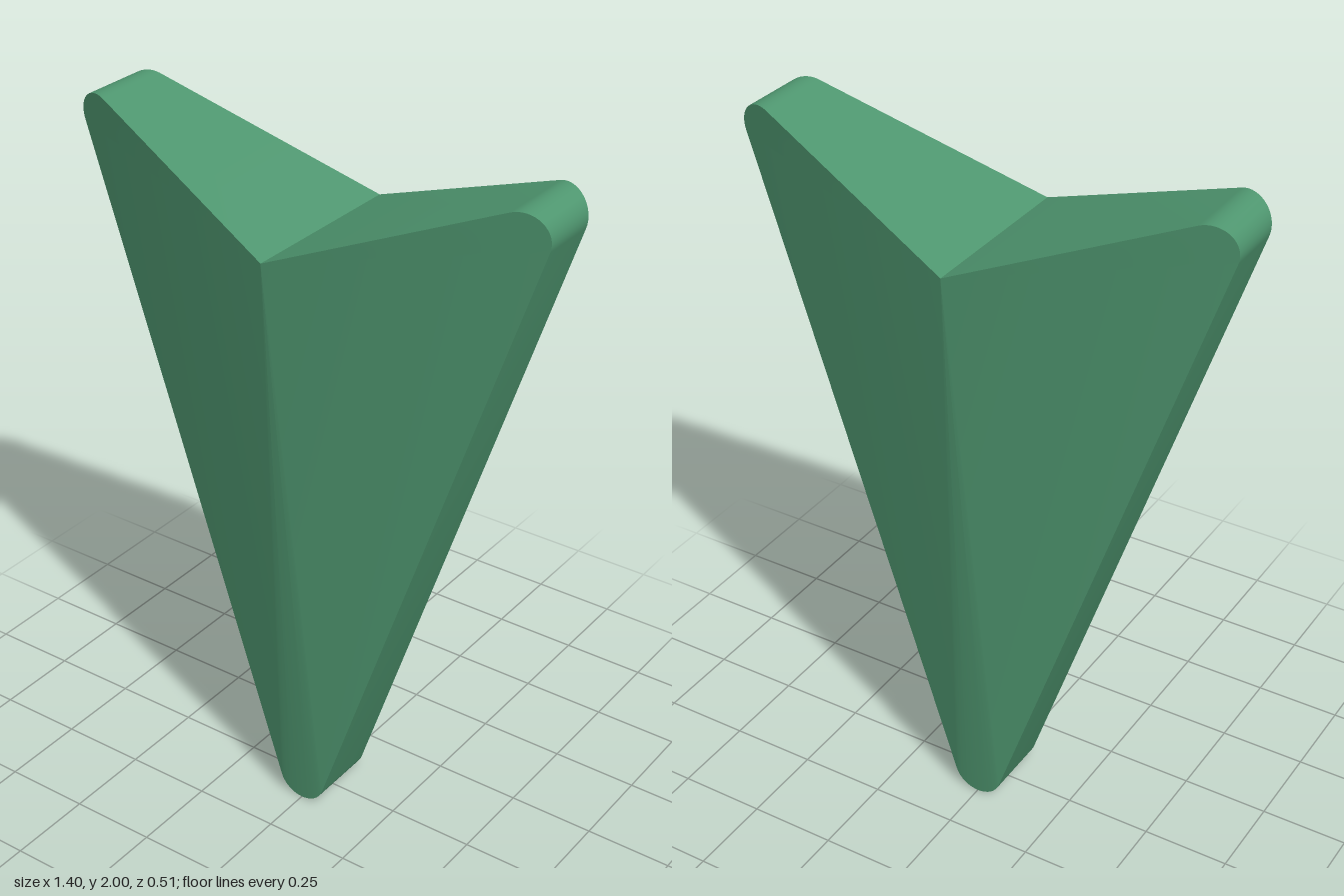
import * as THREE from 'three';
import { toCreasedNormals } from 'three/addons/utils/BufferGeometryUtils.js';

const RIDGE_BOTTOM = 0.1; // half thickness at the point
const NOTCH_Y = 1.755, NOTCH_Z = 0.255;

// Half outline from the bottom point round the wing tip, as [x, y, z]
function halfOutline() {
  const pts = [];
  const edge = Math.atan2(-0.319, 0.948); // outward normal of the long side
  const top = Math.atan2(0.93, -0.369); // outward normal of the notch side
  const arc = (cx, cy, r, from, to, n, depth) => {
    for (let i = 0; i <= n; i++) {
      const a = from + (to - from) * i / n;
      const x = cx + r * Math.cos(a), y = cy + r * Math.sin(a);
      pts.push([x, y, depth(x, y)]);
    }
  };
  arc(0, 0.075, 0.075, -Math.PI / 2, edge, 8, () => RIDGE_BOTTOM);
  arc(0.63, 1.93, 0.07, edge, top, 16, (x, y) => RIDGE_BOTTOM + 0.0883 * y - 0.268 * x);
  return pts;
}

// Closed body: ridged front and back fans from the notch, joined by the rim
function arrowheadGeometry() {
  const apex = [0, NOTCH_Y, NOTCH_Z];
  const half = halfOutline();
  half[0][0] = 0;
  const mirrored = half.slice(1).reverse().map(([x, y, z]) => [-x, y, z]);
  const loop = [apex, ...mirrored, ...half]; // counter-clockwise seen from the front
  const back = ([x, y, z]) => [x, y, -z];
  const pos = [];
  const tri = (a, b, c) => pos.push(...a, ...b, ...c);
  loop.forEach((a, i) => {
    const b = loop[(i + 1) % loop.length];
    if (a !== apex && b !== apex) {
      tri(apex, a, b);
      tri(back(apex), back(b), back(a));
    }
    tri(a, back(a), back(b));
    tri(a, back(b), b);
  });
  const geometry = new THREE.BufferGeometry();
  geometry.setAttribute('position', new THREE.Float32BufferAttribute(pos, 3));
  return toCreasedNormals(geometry, 0.3);
}

export function createModel() {
  const group = new THREE.Group();
  group.name = 'arrowheadMarker';
  const green = new THREE.MeshStandardMaterial({ color: 0x4f9770 });
  green.name = 'green';
  const body = new THREE.Mesh(arrowheadGeometry(), green);
  body.name = 'arrowhead';
  group.add(body);
  return group;
}
